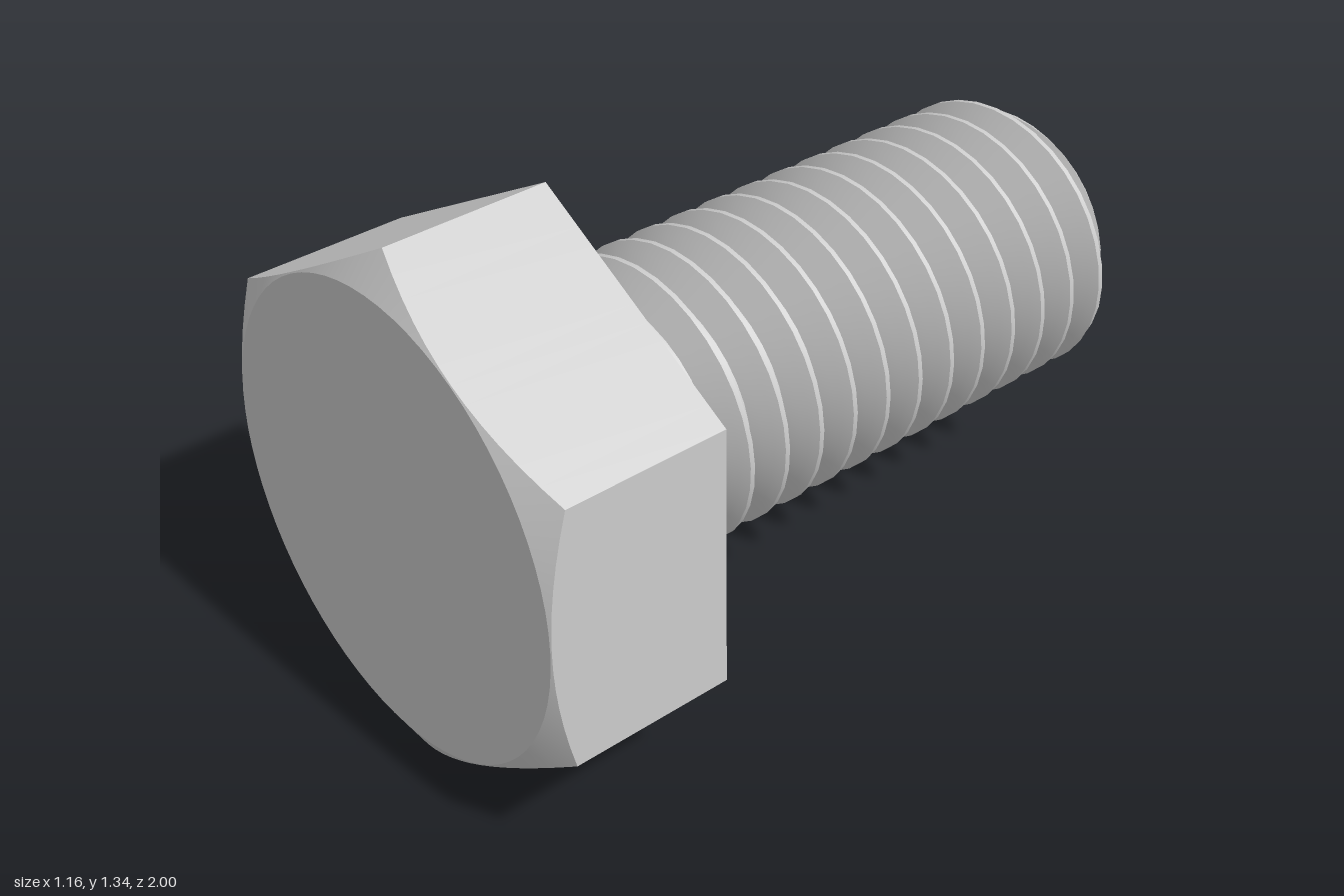
import * as THREE from 'three';
import { toCreasedNormals } from 'three/addons/utils/BufferGeometryUtils.js';

const AXIS_Y = 0.672;    // height of the bolt axis
const APOTHEM = 0.582;   // half the head's width across flats
const HEAD_BACK = 0.53;  // z of the bearing face
const PITCH = 0.1067, CREST = 0.369, ROOT = 0.295;
const CREST_Z = 0.398;   // a crest position on top of the shank

// Skin a stack of rings around the z axis; ring(angle) returns [radius, z].
function skinRings(rings, segments) {
  const grid = rings.map((ring) => Array.from({ length: segments + 1 }, (_, i) => {
    const a = (i / segments) * Math.PI * 2;
    const [r, z] = ring(a);
    return new THREE.Vector3(r * Math.cos(a), r * Math.sin(a), z);
  }));
  const positions = [];
  const tri = (a, b, c) => {
    const area = b.clone().sub(a).cross(c.clone().sub(a)).length();
    if (area > 1e-9) for (const p of [a, b, c]) positions.push(p.x, p.y, p.z);
  };
  for (let j = 0; j < grid.length - 1; j++) {
    for (let i = 0; i < segments; i++) {
      const a = grid[j][i], b = grid[j][i + 1], c = grid[j + 1][i + 1], d = grid[j + 1][i];
      tri(a, b, c);
      tri(a, c, d);
    }
  }
  const geometry = new THREE.BufferGeometry();
  geometry.setAttribute('position', new THREE.Float32BufferAttribute(positions, 3));
  return toCreasedNormals(geometry, 0.4);
}

// Hexagonal head with a conical chamfer cutting the front corners
function headGeometry() {
  const sector = Math.PI / 3;
  const hexRadius = (a) => APOTHEM / Math.cos(a - Math.round(a / sector) * sector);
  return skinRings([
    () => [0, HEAD_BACK],
    (a) => [hexRadius(a), HEAD_BACK],
    (a) => [hexRadius(a), 1 - (hexRadius(a) - APOTHEM + 0.003) * 0.56],
    () => [APOTHEM - 0.003, 1],
    () => [0, 1],
  ], 72);
}

// Right-hand thread radius, with run-out cone at the head and chamfered tip
function threadRadius(z, a) {
  const turns = (z - CREST_Z) / PITCH - (a - Math.PI / 2) / (Math.PI * 2);
  const d = Math.abs(turns - Math.round(turns));
  const t = THREE.MathUtils.clamp((d - 0.06) / (0.43 - 0.06), 0, 1);
  const runout = 0.375 - (HEAD_BACK - z) * 0.75;
  const tip = 0.287 + (z + 1);
  return Math.min(Math.max(THREE.MathUtils.lerp(CREST, ROOT, t), runout), tip);
}

// Shank: rings follow the helix and are clamped at both ends
function shankGeometry() {
  const rings = [() => [0, -1]];
  for (let k = -15; k <= 2; k++) {
    for (const offset of [-0.43, -0.3, -0.18, -0.06, 0.06, 0.18, 0.3, 0.43]) {
      rings.push((a) => {
        const helix = CREST_Z + PITCH * (k + offset + (a - Math.PI / 2) / (Math.PI * 2));
        const z = THREE.MathUtils.clamp(helix, -1, HEAD_BACK);
        return [threadRadius(z, a), z];
      });
    }
  }
  return skinRings(rings, 36);
}

export function createModel() {
  const group = new THREE.Group();
  group.name = 'hexBolt';
  const material = new THREE.MeshStandardMaterial({ color: 0xcccccc });
  const parts = { hexHead: headGeometry(), threadedShank: shankGeometry() };
  for (const [name, geometry] of Object.entries(parts)) {
    const mesh = new THREE.Mesh(geometry, material);
    mesh.name = name;
    mesh.position.y = AXIS_Y;
    // Hexagon points up and down
    if (name === 'hexHead') mesh.rotation.z = 0;
    group.add(mesh);
  }
  return group;
}
